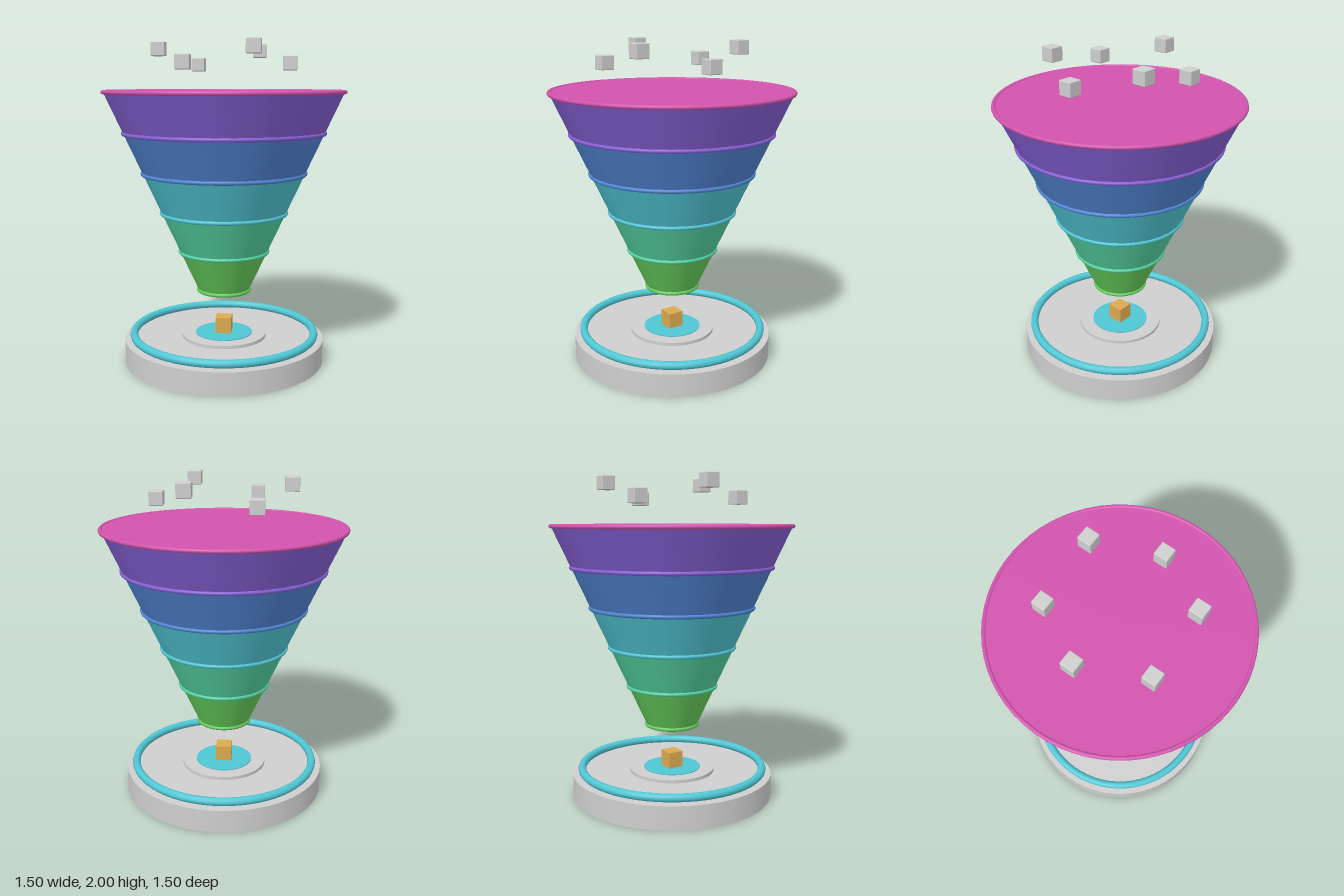
import * as THREE from 'three';
import { RoundedBoxGeometry } from 'three/addons/geometries/RoundedBoxGeometry.js';

const material = (name, color) => {
  const m = new THREE.MeshStandardMaterial({ color });
  m.name = name;
  return m;
};

export function createModel() {
  const model = new THREE.Group();
  model.name = 'layeredFunnel';

  const grey = material('light grey', 0xcfcfcf);
  const gold = material('gold', 0xdcaa50);
  const cyan = material('cyan', 0x50c6d4);
  const pink = material('pink', 0xd254ae);
  const layers = [
    material('green', 0x66cd5c),
    cyan && material('mint', 0x54d2a2),
    cyan,
    material('blue', 0x5084d2),
    material('purple', 0x8560d4),
  ];

  const add = (name, geometry, mat, x = 0, y = 0, z = 0, parent = model) => {
    const mesh = new THREE.Mesh(geometry, mat);
    mesh.name = name;
    mesh.position.set(x, y, z);
    parent.add(mesh);
    return mesh;
  };
  const ring = (name, radius, tube, mat, y, parent) => {
    const geometry = new THREE.TorusGeometry(radius, tube, 12, 64).rotateX(Math.PI / 2);
    return add(name, geometry, mat, 0, y, 0, parent);
  };
  const disc = (name, radius, y0, y1, mat, segments = 64) =>
    add(name, new THREE.CylinderGeometry(radius, radius, y1 - y0, segments), mat, 0, (y0 + y1) / 2, 0);

  // Pedestal with its glowing ring, inner step and centre cube
  disc('base', 0.633, 0, 0.145, grey);
  ring('baseRing', 0.575, 0.025, cyan, 0.172);
  disc('innerStep', 0.268, 0.145, 0.165, grey);
  disc('innerDisc', 0.18, 0.165, 0.17, cyan);
  add('centreCube', new THREE.BoxGeometry(0.1, 0.1, 0.1), gold, 0, 0.22, 0);

  // Funnel: five stacked bands, each with a ring at its lower edge
  const funnel = new THREE.Group();
  funnel.name = 'funnel';
  model.add(funnel);
  const bottomY = 0.452, stepY = 0.249, bottomR = 0.161, stepR = 0.1148, tube = 0.0125;
  layers.forEach((mat, i) => {
    const r = bottomR + stepR * i;
    const y = bottomY + stepY * i;
    add(`band${i + 1}`, new THREE.CylinderGeometry(r + stepR, r, stepY, 32, 1, i > 0), mat,
      0, y + stepY / 2, 0, funnel);
    ring(`bandRing${i + 1}`, r, tube, mat, y, funnel);
  });

  // Pink lid and rim
  const topY = bottomY + stepY * 5;
  const topR = bottomR + stepR * 5;
  add('lid', new THREE.CylinderGeometry(topR, topR, 0.008, 64), pink, 0, topY + 0.002, 0, funnel);
  ring('rim', topR, tube, pink, topY, funnel);

  // Six cubes floating in a circle at alternating heights
  const cubeGeometry = new RoundedBoxGeometry(0.086, 0.086, 0.086, 2, 0.005);
  for (let i = 0; i < 6; i++) {
    const a = (i * Math.PI) / 3;
    add(`floatingCube${i + 1}`, cubeGeometry, grey,
      0.402 * Math.cos(a), i % 2 ? 1.957 : 1.87, 0.402 * Math.sin(a));
  }
  return model;
}
